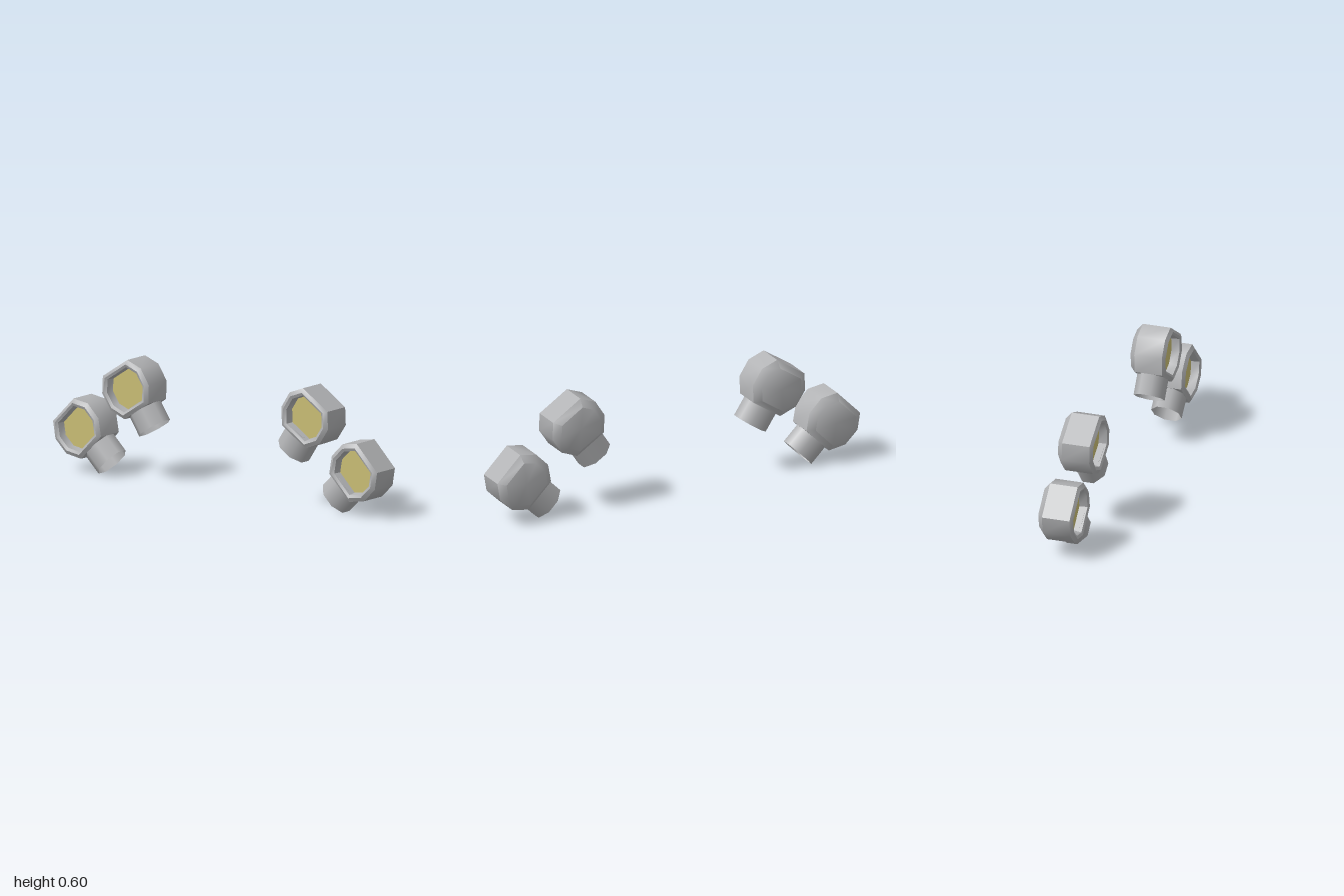
import * as THREE from 'three';
import { toCreasedNormals } from 'three/addons/utils/BufferGeometryUtils.js';

// Half of the eight-sided outline; mirrored to make the full one (counter-clockwise)
const half = [[0.088, -0.122], [0.141, -0.047], [0.142, 0.046], [0.09, 0.118]];
const outline = [...half, ...half.map(([x, y]) => [-x, y]).reverse()];

// Cross-sections [scale, z]: recess floor, recess mouth, rim, side, back bevel, back centre
const sections = [[0.72, 0.045], [0.76, 0.086], [0.86, 0.093], [1, 0.08], [1, -0.062], [0.76, -0.092], [0, -0.093]];

function housingGeometry() {
  const positions = [];
  const index = [];
  const n = outline.length;
  for (const [s, z] of sections) for (const [x, y] of outline) positions.push(x * s, y * s, z);
  for (let i = 0; i < sections.length - 1; i++) {
    for (let j = 0; j < n; j++) {
      const a = i * n + j, b = i * n + (j + 1) % n, c = b + n, d = a + n;
      if (i === sections.length - 2) index.push(a, d, b);
      else index.push(a, d, c, a, c, b);
    }
  }
  const geometry = new THREE.BufferGeometry();
  geometry.setAttribute('position', new THREE.Float32BufferAttribute(positions, 3));
  geometry.setIndex(index);
  return toCreasedNormals(geometry, 0.75);
}

function stemGeometry() {
  const r = 1 / Math.cos(Math.PI / 8);
  const top = -0.09, bottom = -0.226;
  const geometry = new THREE.CylinderGeometry(r, r, top - bottom, 8, 1, true, Math.PI / 8);
  geometry.scale(0.086, 1, 0.07);
  geometry.translate(0, (top + bottom) / 2, 0.008);
  return geometry;
}

export function createModel() {
  const grey = new THREE.MeshStandardMaterial({ color: 0xb2b3b5, side: THREE.DoubleSide });
  grey.name = 'grey metal';
  const yellow = new THREE.MeshStandardMaterial({ color: 0xc9bd74 });
  yellow.name = 'pale yellow lens';

  const housing = housingGeometry();
  const stem = stemGeometry();
  const lens = new THREE.ShapeGeometry(
    new THREE.Shape(outline.map(([x, y]) => new THREE.Vector2(x * 0.72, y * 0.72))));
  lens.translate(0, 0, 0.046);

  const model = new THREE.Group();
  model.name = 'lamps';

  // Each lamp leans outward, its stem pointing down toward the middle
  const places = [
    { name: 'upper', x: 0.553, y: 0.46, lean: 33.3 },
    { name: 'lower', x: 0.853, y: 0.226, lean: 45.5 },
  ];
  for (const side of [1, -1]) {
    for (const { name, x, y, lean } of places) {
      const lamp = new THREE.Group();
      lamp.name = name + (side > 0 ? 'LeftLamp' : 'RightLamp');
      for (const [part, geometry, material] of [
        ['housing', housing, grey], ['stem', stem, grey], ['lens', lens, yellow]]) {
        const mesh = new THREE.Mesh(geometry, material);
        mesh.name = part;
        lamp.add(mesh);
      }
      lamp.position.set(side * x, y, 0);
      lamp.rotation.z = -side * THREE.MathUtils.degToRad(lean);
      model.add(lamp);
    }
  }
  return model;
}
